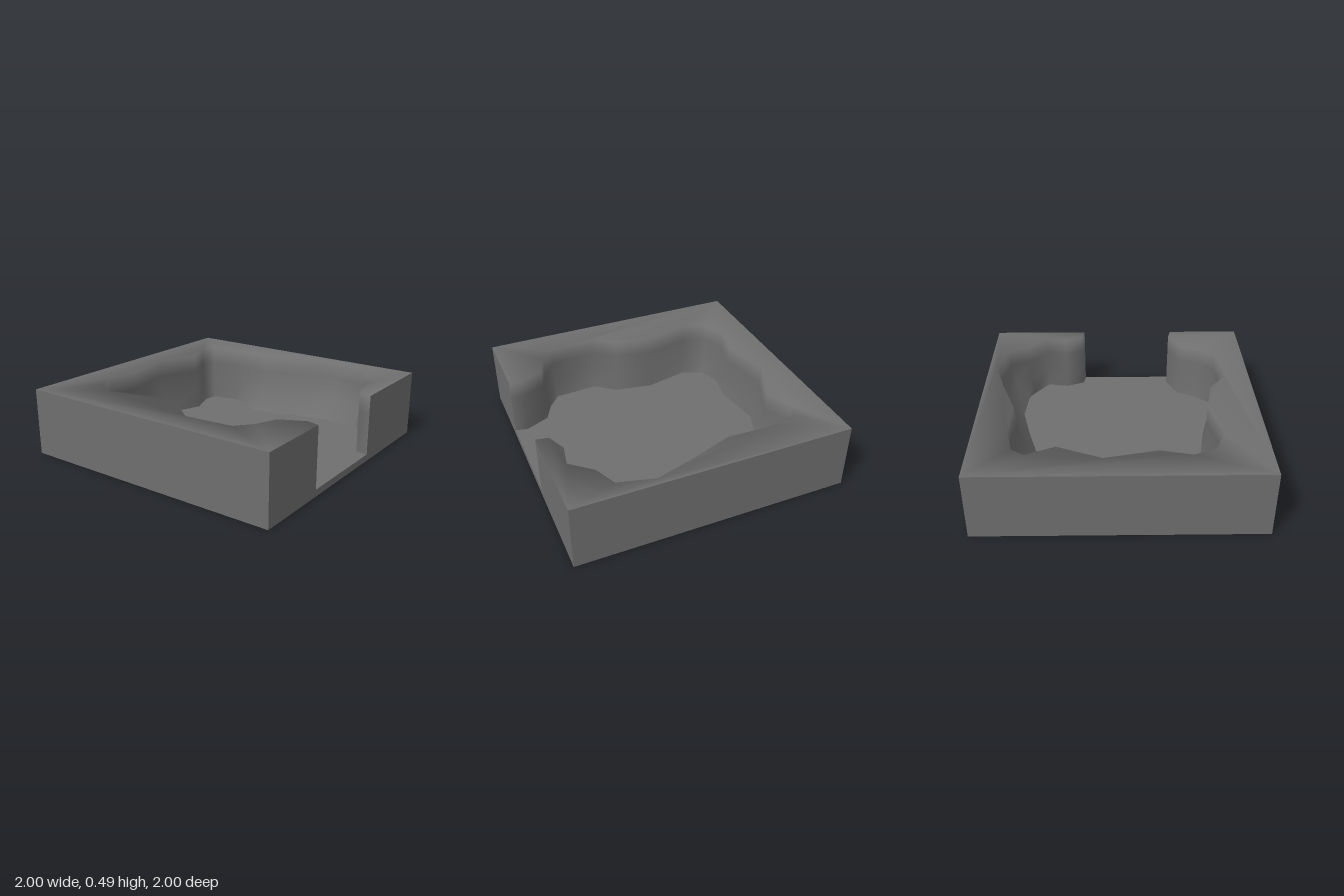
import * as THREE from 'three';

const HEIGHT = 0.49, FLOOR = 0.05;

// Cave outline from the front opening round and back: floor x, z then rim x, z
const OUTLINE = [
  [-0.45, 1, -0.45, 1], [-0.43, 0.91, -0.43, 0.91], [-0.51, 0.73, -0.515, 0.735],
  [-0.65, 0.66, -0.665, 0.675], [-0.76, 0.57, -0.78, 0.58], [-0.78, 0.24, -0.81, 0.23],
  [-0.66, 0.09, -0.69, 0.08], [-0.61, -0.2, -0.635, -0.2], [-0.68, -0.52, -0.71, -0.53],
  [-0.62, -0.68, -0.64, -0.71], [-0.47, -0.74, -0.48, -0.78], [-0.26, -0.7, -0.26, -0.73],
  [0.11, -0.755, 0.11, -0.81], [0.41, -0.64, 0.42, -0.68], [0.61, -0.72, 0.62, -0.77],
  [0.71, -0.7, 0.71, -0.71], [0.75, -0.51, 0.76, -0.5], [0.73, -0.42, 0.76, -0.4],
  [0.6, -0.19, 0.75, -0.19], [0.69, 0.11, 0.86, 0.12], [0.76, 0.4, 0.945, 0.4],
  [0.74, 0.66, 0.88, 0.66], [0.7, 0.73, 0.72, 0.73], [0.59, 0.88, 0.59, 0.88],
  [0.43, 0.85, 0.43, 0.85], [0.29, 0.91, 0.29, 0.91], [0.275, 1, 0.275, 1],
];

// Wall profile: height and how far the wall has moved from floor line to rim
const PROFILE = [[FLOOR, 0], [0.2, 0.65], [0.36, 0.9], [HEIGHT, 1]];

// Inner walls and flat top share the rim vertices, so the shading rolls over the edge
function rockGeometry() {
  const n = OUTLINE.length, positions = [], index = [];
  for (const [y, t] of PROFILE) {
    for (const [fx, fz, rx, rz] of OUTLINE) {
      positions.push(fx + (rx - fx) * t, y, fz + (rz - fz) * t);
    }
  }
  for (let r = 0; r < PROFILE.length - 1; r++) {
    for (let i = 0; i < n - 1; i++) {
      const a = r * n + i, b = a + 1, c = b + n, d = a + n;
      index.push(a, b, c, a, c, d);
    }
  }
  const corners = [[1, 1], [1, -1], [-1, -1], [-1, 1]];
  corners.forEach(([x, z]) => positions.push(x, HEIGHT, z));
  const contour = [...OUTLINE.map((p) => [p[2], p[3]]), ...corners]
    .map(([x, z]) => new THREE.Vector2(x, -z));
  const rim = (PROFILE.length - 1) * n;
  for (const face of THREE.ShapeUtils.triangulateShape(contour, [])) {
    index.push(...face.map((k) => rim + k));
  }
  const geometry = new THREE.BufferGeometry();
  geometry.setAttribute('position', new THREE.Float32BufferAttribute(positions, 3));
  geometry.setIndex(index);
  geometry.computeVertexNormals();

  // Rim normals lean halfway between the wall below and straight up
  const normals = geometry.attributes.normal, v = new THREE.Vector3();
  for (let i = rim; i < rim + n; i++) {
    v.fromBufferAttribute(normals, i - n);
    v.y += 1;
    v.normalize();
    normals.setXYZ(i, v.x, v.y, v.z);
  }
  return geometry;
}

const flatShape = (points) =>
  new THREE.ShapeGeometry(new THREE.Shape(points.map(([x, y]) => new THREE.Vector2(x, y))));

export function createModel() {
  const group = new THREE.Group();
  group.name = 'caveTile';
  const material = new THREE.MeshStandardMaterial({ color: 0x6f6f6f });
  const add = (name, geometry) => {
    const mesh = new THREE.Mesh(geometry, material);
    mesh.name = name;
    group.add(mesh);
  };

  add('rockWalls', rockGeometry());

  add('caveFloor', flatShape(OUTLINE.map(([x, z]) => [x, -z]))
    .rotateX(-Math.PI / 2).translate(0, FLOOR, 0));

  // Front face with the entrance cut out
  const left = OUTLINE[0][0], right = OUTLINE[OUTLINE.length - 1][0];
  add('frontFace', flatShape([
    [-1, 0], [1, 0], [1, HEIGHT], [right, HEIGHT],
    [right, FLOOR], [left, FLOOR], [left, HEIGHT], [-1, HEIGHT],
  ]).translate(0, 0, 1));

  // Plain outer sides and underside
  ['leftSide', 'back', 'rightSide'].forEach((name, i) => {
    add(name, new THREE.PlaneGeometry(2, HEIGHT)
      .translate(0, HEIGHT / 2, 1).rotateY((i + 1) * Math.PI / 2));
  });
  add('underside', new THREE.PlaneGeometry(2, 2).rotateX(Math.PI / 2));

  return group;
}
